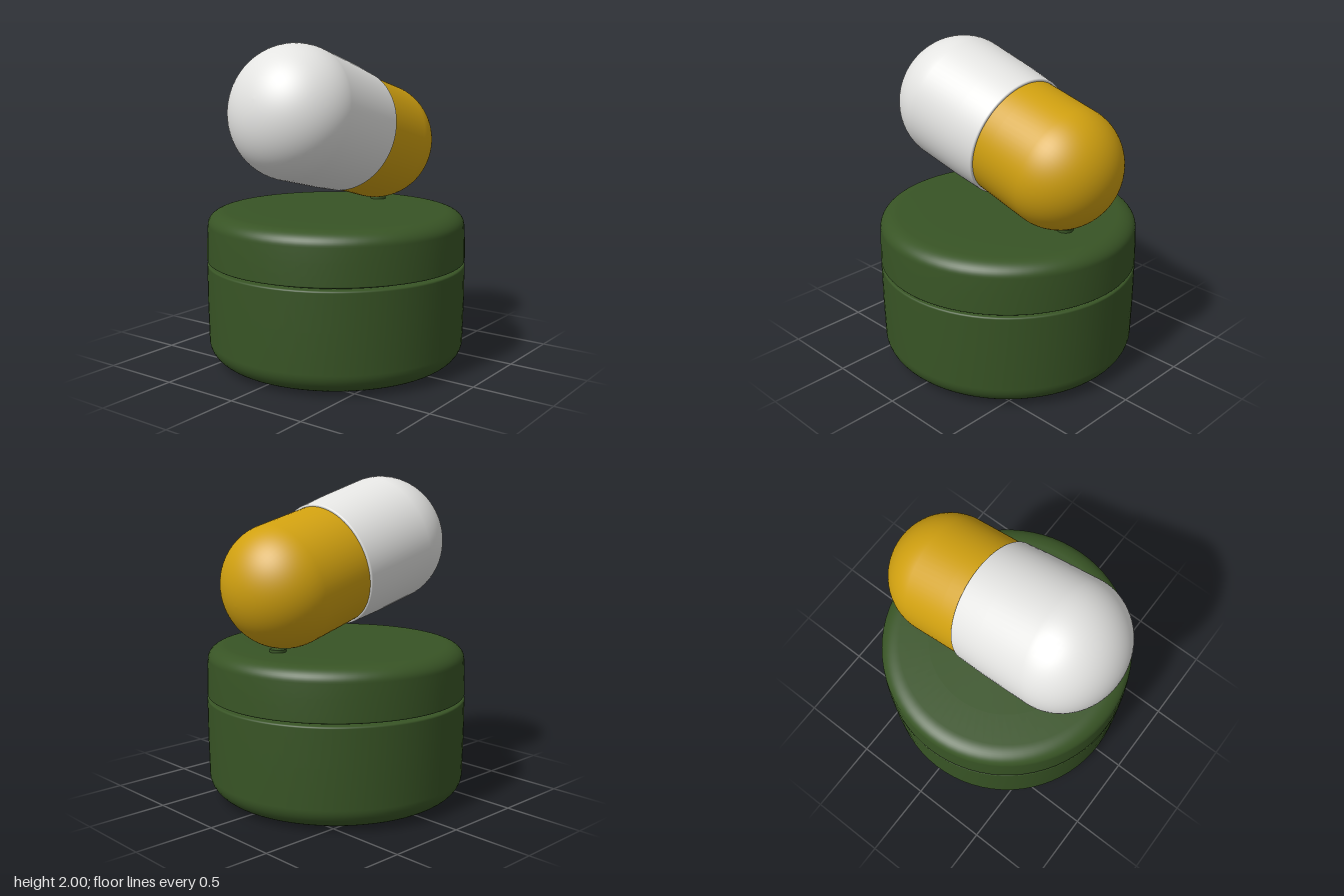
import * as THREE from 'three';

// Turn a list of arcs and points [r, y] into a lathe surface
function lathe(name, pts, material) {
  const geo = new THREE.LatheGeometry(pts.map(([r, y]) => new THREE.Vector2(r, y)), 72);
  const mesh = new THREE.Mesh(geo, material);
  mesh.name = name;
  return mesh;
}

// Elliptical quarter arc between two angles (degrees) around (cx, cy)
function arc(cx, cy, rx, ry, from, to, n = 12) {
  return Array.from({ length: n + 1 }, (_, i) => {
    const a = THREE.MathUtils.degToRad(from + (to - from) * i / n);
    return [Math.max(0, cx + rx * Math.cos(a)), cy + ry * Math.sin(a)];
  });
}

export function createModel() {
  const green = new THREE.MeshStandardMaterial({ color: 0x385425 });
  green.name = 'dark green';
  const white = new THREE.MeshStandardMaterial({ color: 0xe4e4e2 });
  white.name = 'white';
  const yellow = new THREE.MeshStandardMaterial({ color: 0xd0a010 });
  yellow.name = 'golden yellow';

  const model = new THREE.Group();
  model.name = 'pillJar';

  // Jar with a rounded bottom, a recessed neck and a rounded lid
  const R = 0.815;
  model.add(lathe('jarBody', [
    [0, 0.005], [0.5, 0.006],
    ...arc(R - 0.17, 0.15, 0.165, 0.138, -90, 0),
    [R, 0.4], [R, 0.63],
    ...arc(R - 0.012, 0.632, 0.012, 0.01, 0, 90, 4),
    [0.75, 0.643],
  ], green));
  model.add(lathe('jarNeck', [[0.76, 0.63], [0.76, 0.67]], green));
  model.add(lathe('jarLid', [
    [0.75, 0.656],
    ...arc(R - 0.012, 0.666, 0.012, 0.01, -90, 0, 4),
    [R - 0.003, 0.8],
    ...arc(R - 0.125, 0.885, 0.117, 0.085, 0, 90),
    [0.5, 0.973], [0, 0.974],
  ], green));

  // Small foot joining the capsule to the lid
  const foot = new THREE.Mesh(new THREE.CylinderGeometry(0.05, 0.05, 0.03, 24), green);
  foot.name = 'capsuleFoot';
  foot.position.set(0.48, 0.975, 0);
  model.add(foot);

  // Tilted two-part capsule; local +y runs towards the white end
  const capsule = new THREE.Group();
  capsule.name = 'capsule';
  capsule.position.set(0.09, 1.462, 0);
  capsule.rotation.z = THREE.MathUtils.degToRad(75);
  capsule.add(lathe('whiteCap', [
    [0.36, 0], [0.38, 0],
    ...arc(0.38, 0.01, 0.01, 0.01, -90, 0, 4),
    [0.4, 0.2],
    ...arc(0, 0.522, 0.407, 0.372, 0, 90, 24),
  ], white));
  capsule.add(lathe('yellowBody', [
    ...arc(0, -0.362, 0.379, 0.362, -90, 0, 24),
    [0.377, -0.1], [0.375, 0.02],
  ], yellow));
  model.add(capsule);

  return model;
}
